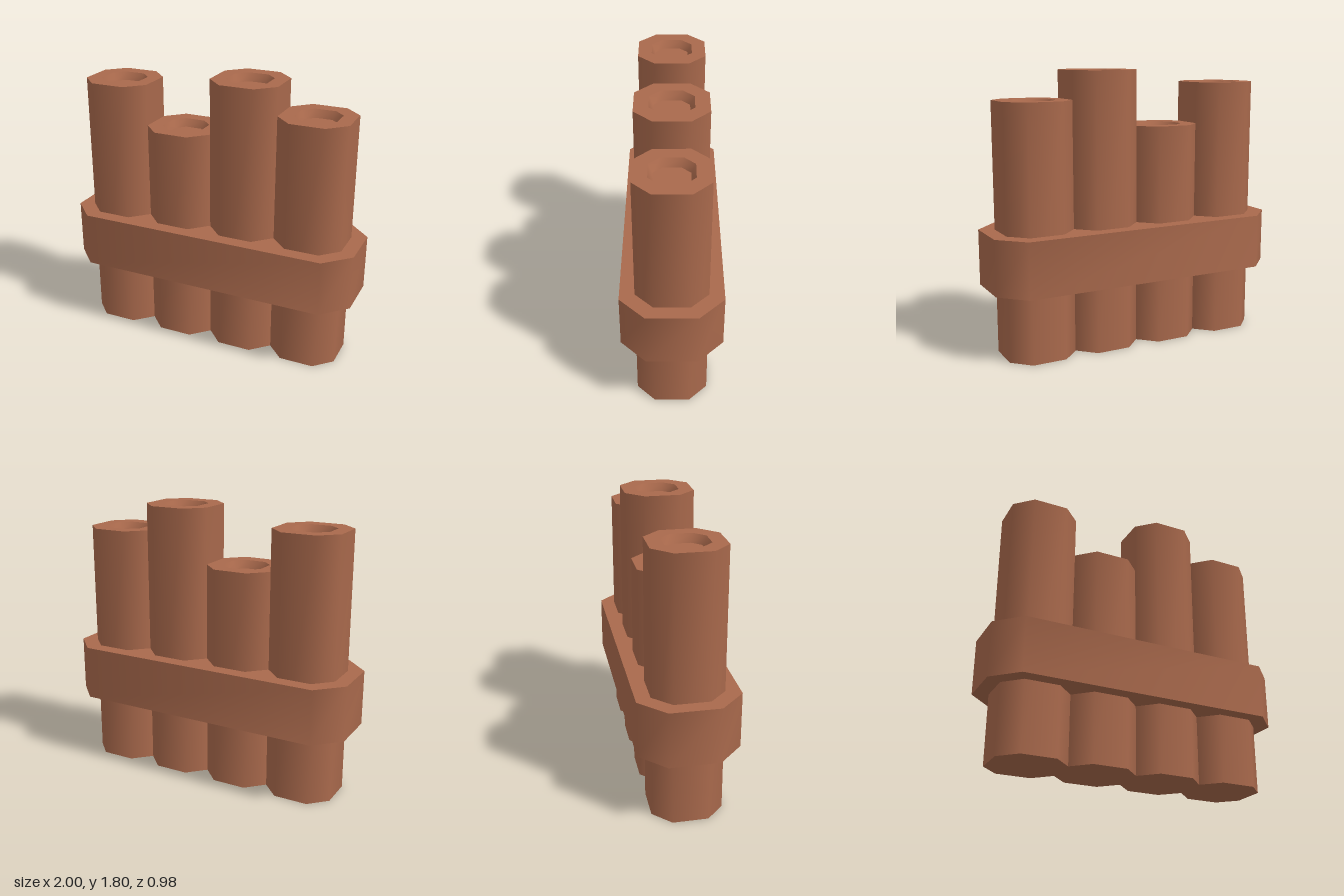
import * as THREE from 'three';
import { toCreasedNormals } from 'three/addons/utils/BufferGeometryUtils.js';

// Chamfered rectangle, counterclockwise seen from above, as [x, z] corners
function octagon(hx, hz, cut) {
  const a = hx - cut, b = hz - cut;
  return [[hx, b], [hx, -b], [a, -hz], [-a, -hz], [-hx, -b], [-hx, b], [-a, hz], [a, hz]];
}

// Joins stacked rings [outline, y] with walls and closes both ends
function loft(rings) {
  const pos = [], index = [], n = 8;
  for (const [outline, y] of rings) for (const [x, z] of outline) pos.push(x, y, z);
  for (let r = 0; r < rings.length - 1; r++) {
    for (let i = 0; i < n; i++) {
      const a = r * n + i, b = r * n + (i + 1) % n;
      index.push(a, b, b + n, a, b + n, a + n);
    }
  }
  const last = (rings.length - 1) * n;
  for (let i = 1; i < n - 1; i++) {
    index.push(0, i + 1, i);
    index.push(last, last + i, last + i + 1);
  }
  const geo = new THREE.BufferGeometry();
  geo.setAttribute('position', new THREE.Float32BufferAttribute(pos, 3));
  geo.setIndex(index);
  return toCreasedNormals(geo, THREE.MathUtils.degToRad(50));
}

export function createModel() {
  const model = new THREE.Group();
  model.name = 'bundledPipes';
  const clay = new THREE.MeshStandardMaterial({ color: 0xa9694c });
  clay.name = 'clay';

  const half = 0.224; // half the width of a pipe
  const ring = (s) => octagon(half * s, half * s, half * s / 2);

  // Row of four touching pipes, each with a shallow tapered mouth
  [1.715, 1.445, 1.805, 1.625].forEach((height, i) => {
    const pipe = new THREE.Mesh(loft([
      [ring(1), 0],
      [ring(1), height],
      [ring(0.6), height],
      [ring(0.48), height - 0.05],
    ]), clay);
    pipe.name = 'pipe' + (i + 1);
    pipe.position.x = (i - 1.5) * half * 2;
    model.add(pipe);
  });

  // Wide band holding the pipes together
  const outline = octagon(0.989, 0.317, 0.16);
  const band = new THREE.Mesh(loft([[outline, 0.453], [outline, 0.812]]), clay);
  band.name = 'band';
  model.add(band);

  // The row stands turned slightly
  model.rotation.y = 0.2225;
  const group = new THREE.Group();
  group.name = 'pipeCluster';
  group.add(model);
  return group;
}
